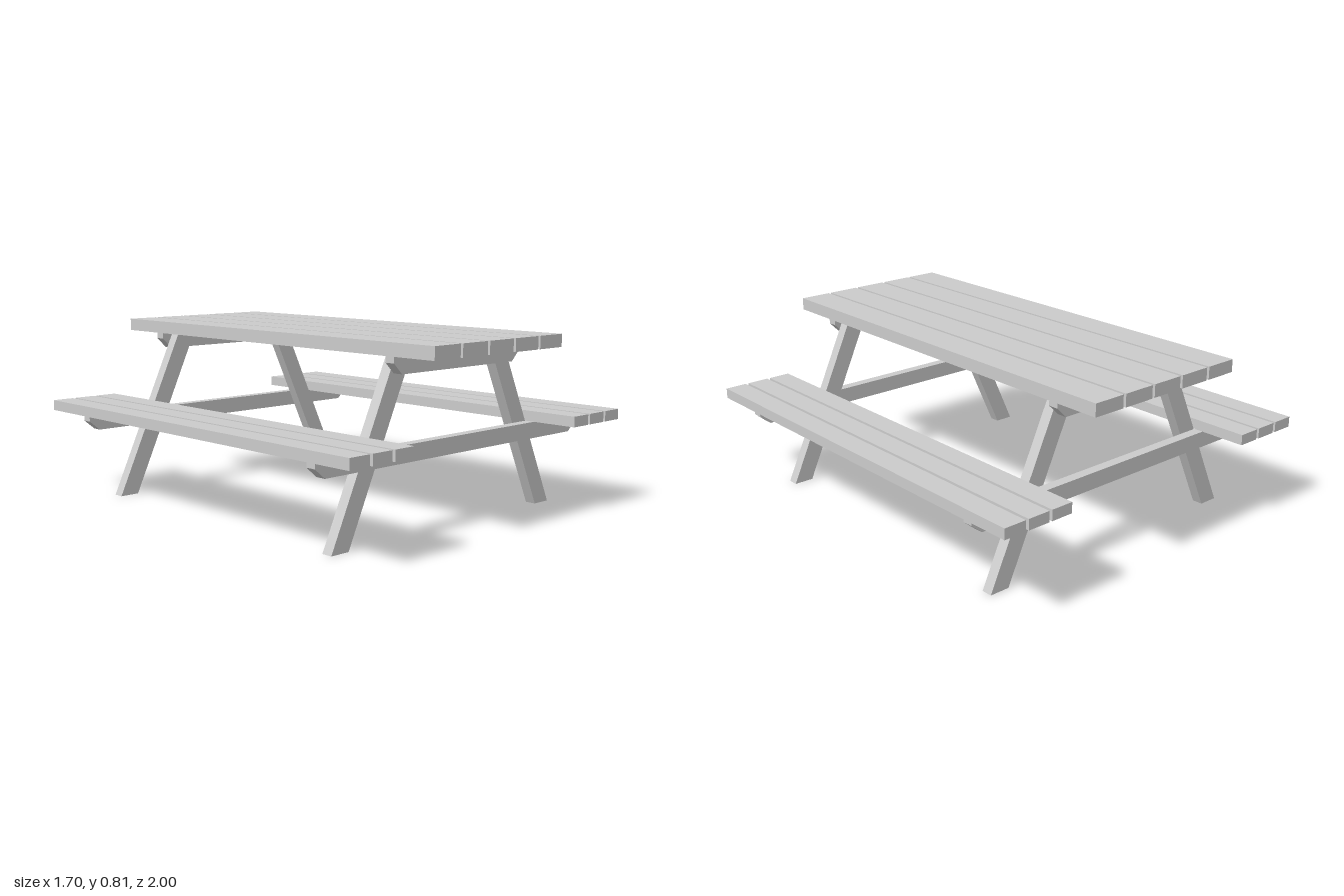
import * as THREE from 'three';

const material = new THREE.MeshStandardMaterial({ color: 0xcccccc });

// Flat board: an outline in x/y given thickness from z0 to z1
function board(name, points, z0, z1) {
  const shape = new THREE.Shape(points.map(([x, y]) => new THREE.Vector2(x, y)));
  const geometry = new THREE.ExtrudeGeometry(shape, { depth: z1 - z0, bevelEnabled: false });
  geometry.translate(0, 0, z0);
  const mesh = new THREE.Mesh(geometry, material);
  mesh.name = name;
  return mesh;
}

// Row of equal planks running the full length along z
function planks(name, count, centre, width, pitch, bottom, top) {
  const group = new THREE.Group();
  group.name = name;
  const geometry = new THREE.BoxGeometry(width, top - bottom, 2);
  for (let i = 0; i < count; i++) {
    const plank = new THREE.Mesh(geometry, material);
    plank.name = name + 'Plank';
    plank.position.set(centre + (i - (count - 1) / 2) * pitch, (bottom + top) / 2, 0);
    group.add(plank);
  }
  return group;
}

// Crossbeam outline with its lower corners cut off
function beam(left, right, bottom, top, cutX, cutY) {
  return [
    [left + cutX, bottom], [right - cutX, bottom], [right, bottom + cutY],
    [right, top], [left, top], [left, bottom + cutY],
  ];
}

export function createModel() {
  const model = new THREE.Group();
  model.name = 'picnicTable';

  // Table top and the two benches
  model.add(planks('tableTop', 5, -0.004, 0.15, 0.164, 0.75, 0.806));
  model.add(planks('leftSeat', 3, 0.68, 0.103, 0.118, 0.394, 0.441));
  model.add(planks('rightSeat', 3, -0.683, 0.103, 0.118, 0.394, 0.441));

  // A-frame at each end, crossbeams on the outer face of the legs
  for (const end of [1, -1]) {
    const frame = new THREE.Group();
    frame.name = end > 0 ? 'frontFrame' : 'backFrame';
    const span = (a, b) => (end > 0 ? [a, b] : [-b, -a]);

    const [b0, b1] = span(0.74, 0.786);
    frame.add(board('topBeam', beam(-0.4, 0.388, 0.677, 0.75, 0.047, 0.046), b0, b1));
    frame.add(board('seatBeam', beam(-0.82, 0.825, 0.321, 0.394, 0.052, 0.043), b0, b1));

    // Slanted legs with level feet and tops
    const [l0, l1] = span(0.69, 0.74);
    frame.add(board('leftLeg', [[0.597, 0], [0.69, 0], [0.341, 0.75], [0.248, 0.75]], l0, l1));
    frame.add(board('rightLeg', [[-0.692, 0], [-0.599, 0], [-0.25, 0.75], [-0.343, 0.75]], l0, l1));
    model.add(frame);
  }
  return model;
}
